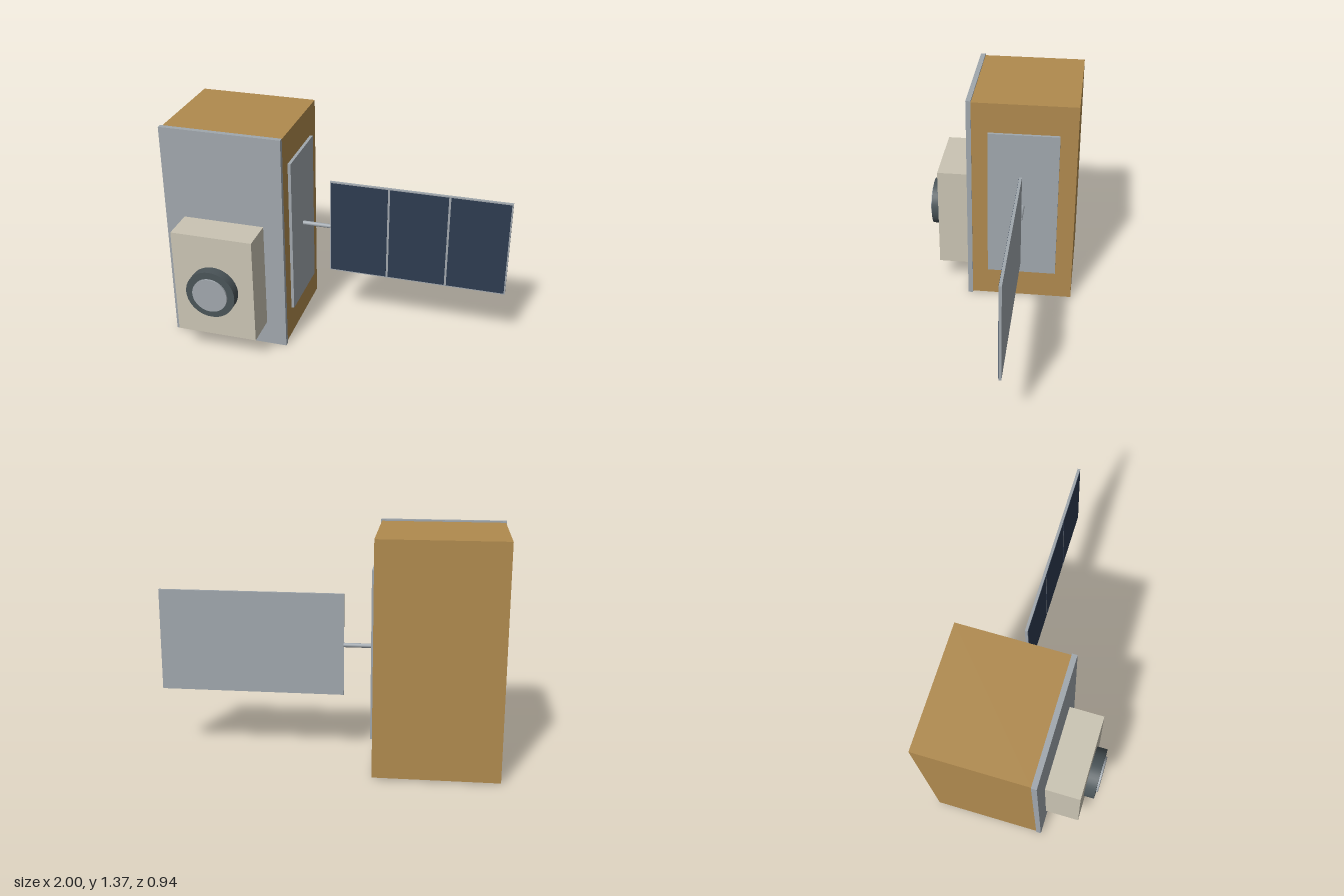
import * as THREE from 'three';

const material = (name, color) => {
  const m = new THREE.MeshStandardMaterial({ color });
  m.name = name;
  return m;
};

export function createModel() {
  const model = new THREE.Group();
  model.name = 'satellite';

  const gold = material('gold foil', 0xb08a4e);
  const grey = material('light grey metal', 0xa0a7ad);
  const cream = material('cream housing', 0xcac4b3);
  const dark = material('dark lens ring', 0x4a5458);
  const navy = material('navy solar cell', 0x2d3b50);

  // Box given by its lower and upper limits on each axis
  function box(name, mat, [x0, x1], [y0, y1], [z0, z1], parent = model) {
    const mesh = new THREE.Mesh(new THREE.BoxGeometry(x1 - x0, y1 - y0, z1 - z0), mat);
    mesh.position.set((x0 + x1) / 2, (y0 + y1) / 2, (z0 + z1) / 2);
    mesh.name = name;
    parent.add(mesh);
  }

  // Cylinder facing the front, between two depths
  function disc(name, mat, radius, z0, z1) {
    const geo = new THREE.CylinderGeometry(radius, radius, z1 - z0, 40).rotateX(Math.PI / 2);
    const mesh = new THREE.Mesh(geo, mat);
    mesh.position.set(-0.635, 0.47, (z0 + z1) / 2);
    mesh.name = name;
    model.add(mesh);
  }

  // Body with its front plate and side radiator
  box('body', gold, [-0.995, -0.275], [0.01, 1.363], [-0.472, 0.166]);
  box('frontPlate', grey, [-1, -0.27], [0, 1.372], [0.166, 0.196]);
  box('sideRadiator', grey, [-0.275, -0.257], [0.199, 1.174], [-0.366, 0.066]);

  // Instrument housing and lens
  box('instrumentHousing', cream, [-0.882, -0.39], [0.154, 0.815], [0.196, 0.4]);
  disc('lensRing', dark, 0.15, 0.4, 0.462);
  disc('lens', grey, 0.107, 0.462, 0.473);

  // Boom carrying the solar wing
  const boom = new THREE.Mesh(new THREE.CylinderGeometry(0.013, 0.013, 0.18, 16).rotateZ(Math.PI / 2), grey);
  boom.position.set(-0.172, 0.687, -0.15);
  boom.name = 'boom';
  model.add(boom);

  // Solar wing: a thin plate with three cells on its front
  const wing = new THREE.Group();
  wing.name = 'solarWing';
  model.add(wing);
  box('wingPlate', grey, [-0.085, 1], [0.385, 0.99], [-0.158, -0.142], wing);
  for (let i = 0; i < 3; i++) {
    const x = -0.078 + i * 0.361;
    box('solarCell' + (i + 1), navy, [x, x + 0.348], [0.392, 0.983], [-0.142, -0.14], wing);
  }

  return model;
}
